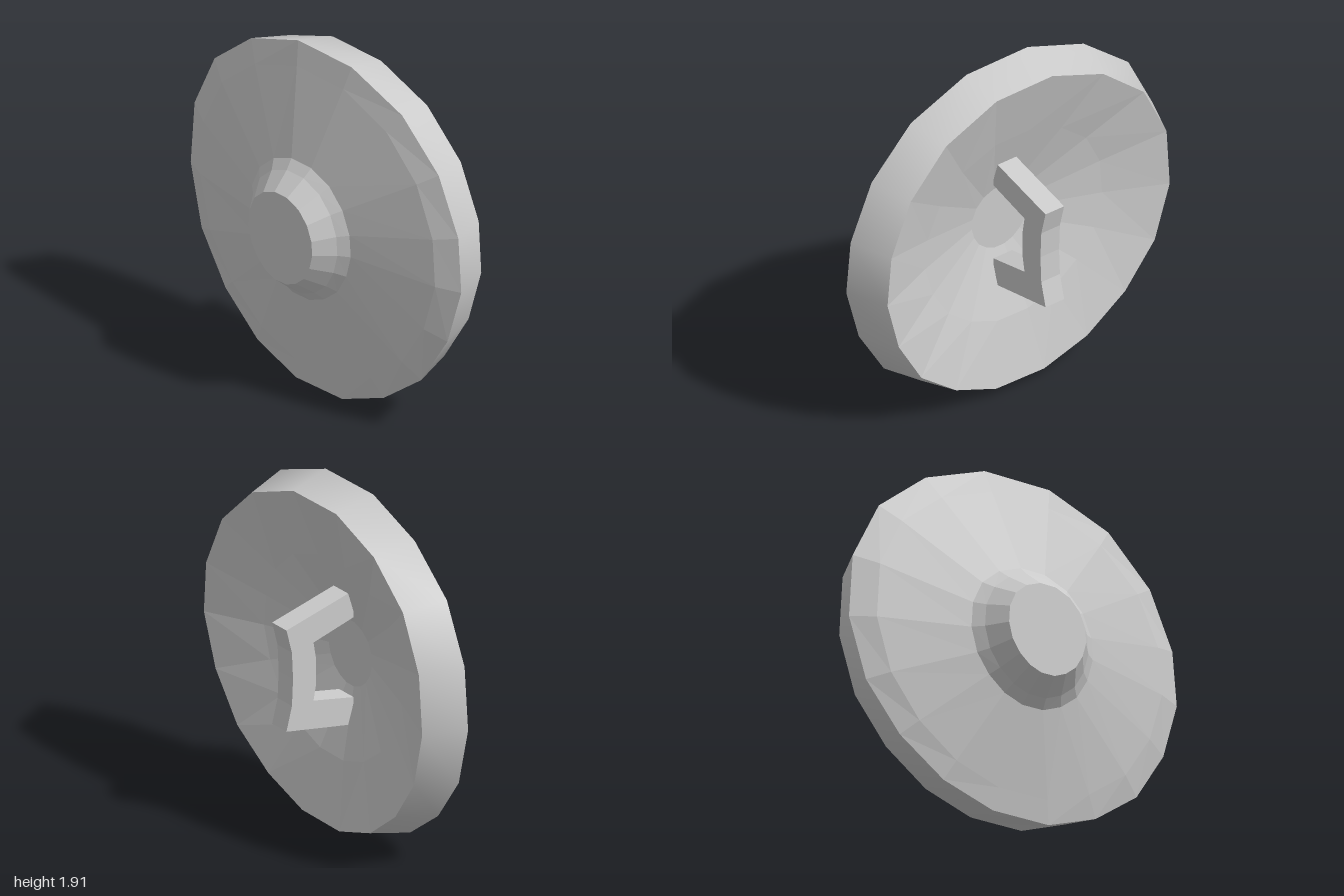
import * as THREE from 'three';

const CENTER_Y = 0.957;
const grey = (opts = {}) => new THREE.MeshStandardMaterial({ color: 0xcccccc, ...opts });

// Slightly irregular 18-sided rim outline, counter-clockwise from the front
const OUTLINE = [
  [1.0, 0.91], [0.975, 1.21], [0.835, 1.52], [0.575, 1.77], [0.21, 1.91], [-0.185, 1.915],
  [-0.54, 1.79], [-0.82, 1.565], [-0.975, 1.25], [-1.0, 0.9], [-0.905, 0.565], [-0.71, 0.3],
  [-0.455, 0.105], [-0.16, 0.005], [0.18, 0.01], [0.475, 0.125], [0.735, 0.32], [0.91, 0.6],
].map(([x, y]) => [x, y - CENTER_Y]);

// The rim is gently warped: further forward at the top and the bottom
const rimZ = (y) => 0.06 + 0.043 * y * y - 0.02 * y;

// A ring is the outline scaled to sx, sy, at a depth given by z(x, y)
const ring = (sx, sy, z) => OUTLINE.map(([x, y]) =>
  [x * sx, CENTER_Y + y * sy, typeof z === 'function' ? z(x, y) : z]);

// Skin a series of rings
function loft(rings) {
  const n = OUTLINE.length;
  const index = [];
  for (let r = 0; r < rings.length - 1; r++) {
    for (let i = 0; i < n; i++) {
      const j = (i + 1) % n;
      const a = r * n + i, b = r * n + j, c = a + n, d = b + n;
      index.push(a, b, d, a, d, c);
    }
  }
  const geo = new THREE.BufferGeometry();
  geo.setAttribute('position', new THREE.Float32BufferAttribute(rings.flat(2), 3));
  geo.setIndex(index);
  geo.computeVertexNormals();
  return geo;
}

export function createModel() {
  const group = new THREE.Group();
  const add = (name, geo, mat) => {
    const mesh = new THREE.Mesh(geo, mat);
    mesh.name = name;
    group.add(mesh);
  };

  const frontRim = ring(1, 1, (x, y) => rimZ(y));
  const backRim = ring(0.91, 0.946, (x, y) => rimZ(y) - 0.225);
  const bossFoot = ring(0.37, 0.4, 0.238);

  // Shallow front face
  add('shieldFace', loft([
    frontRim,
    ring(0.87, 0.87, (x, y) => rimZ(y) * 0.8 + 0.048 + 0.025 * x * x),
    bossFoot,
  ]), grey({ flatShading: true }));

  // Raised central boss with a flat front
  add('boss', loft([
    bossFoot, ring(0.315, 0.35, 0.28), ring(0.235, 0.262, 0.38), ring(0, 0, 0.38),
  ]), grey({ flatShading: true }));

  // Smooth outer band tapering to the back
  add('rimBand', loft([backRim, frontRim]), grey());

  // Hollow back with a flat middle
  add('hollowBack', loft([
    ring(0, 0, 0.075), ring(0.18, 0.19, 0.075), ring(0.57, 0.57, -0.04), backRim,
  ]), grey({ flatShading: true }));

  // Bracket grip: side profile in (-z, y), extruded across x
  const profile = [
    [-0.05, 1.337], [0.38, 1.235], [0.345, 1.1], [0.338, 0.95], [0.345, 0.8], [0.38, 0.665],
    [-0.05, 0.582], [-0.05, 0.735], [0.207, 0.79], [0.19, 0.88], [0.19, 1.02], [0.207, 1.117],
    [-0.05, 1.185],
  ];
  const grip = new THREE.ExtrudeGeometry(
    new THREE.Shape(profile.map(([x, y]) => new THREE.Vector2(x, y))),
    { depth: 0.12, bevelEnabled: false });
  grip.translate(0, 0, -0.06).rotateY(Math.PI / 2);
  add('handle', grip, grey({ flatShading: true }));

  return group;
}
